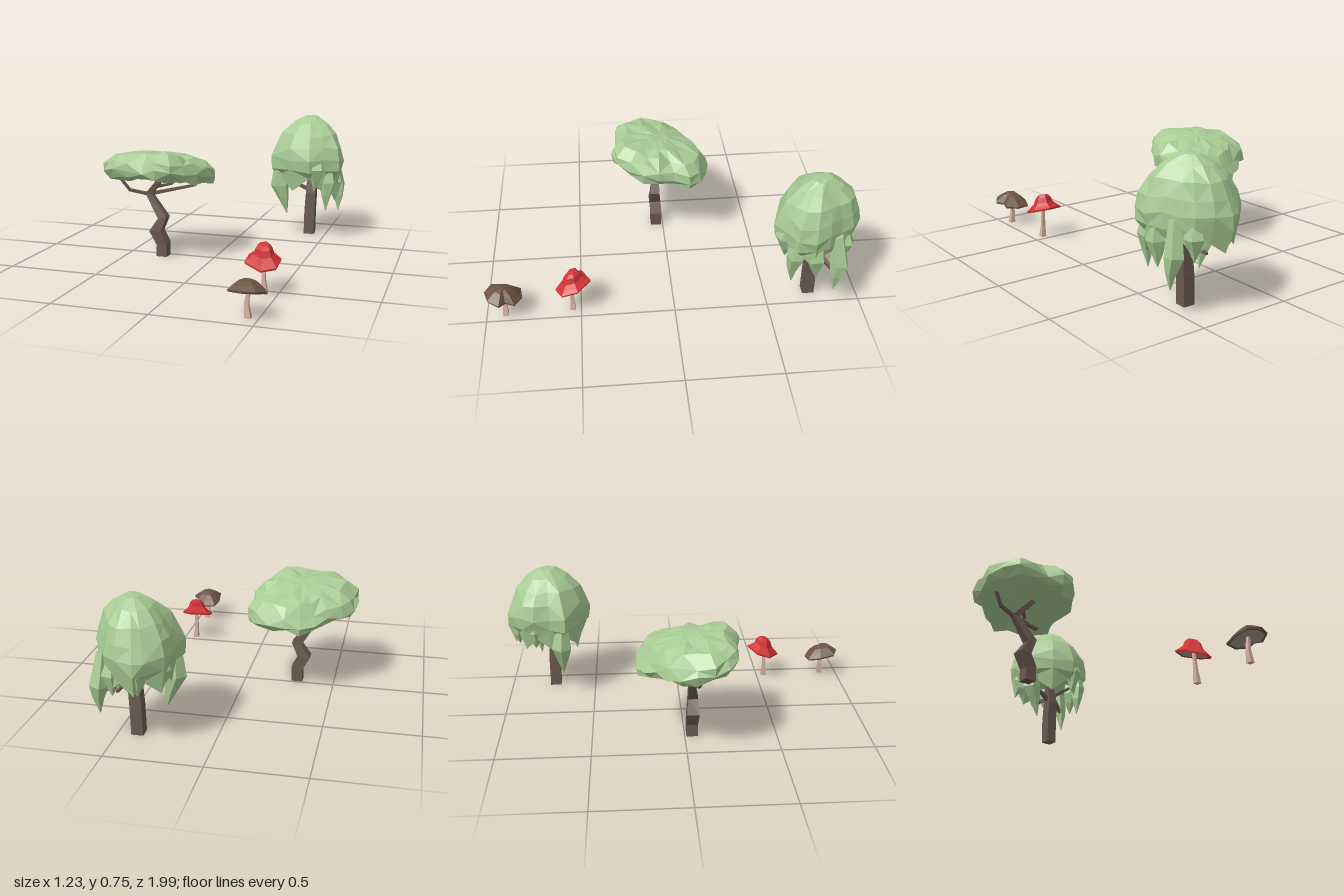
import * as THREE from 'three';

const mat = (color) => new THREE.MeshStandardMaterial({ color, flatShading: true, side: THREE.DoubleSide });
const leaf = mat(0xa9cc95), bark = mat(0x6b594f), pale = mat(0xd6b0a0);
const redCap = mat(0xd23234), brownCap = mat(0x6c5443), gills = mat(0xa09389);
const V = (a) => new THREE.Vector3(...a);

// Repeatable noise in -1..1
const noise = (n) => {
  const s = Math.sin(n * 127.1 + 11.7) * 43758.5453;
  return (s - Math.floor(s)) * 2 - 1;
};

// Skin a list of rings (each a list of Vector3) into a faceted mesh
function loft(name, rings, material) {
  const n = rings[0].length, pos = [], idx = [];
  rings.forEach((ring) => ring.forEach((p) => pos.push(p.x, p.y, p.z)));
  for (let i = 0; i < rings.length - 1; i++) {
    for (let j = 0; j < n; j++) {
      const a = i * n + j, b = i * n + (j + 1) % n;
      const quad = (i + j) % 2
        ? [[a, a + n, b], [b, a + n, b + n]]
        : [[a, a + n, b + n], [a, b + n, b]];
      for (const t of quad) {
        const [p, q, r] = t.map((k) => rings[Math.floor(k / n)][k % n]);
        if (p.distanceTo(q) > 1e-6 && q.distanceTo(r) > 1e-6 && p.distanceTo(r) > 1e-6) idx.push(...t);
      }
    }
  }
  let geo = new THREE.BufferGeometry();
  geo.setAttribute('position', new THREE.Float32BufferAttribute(pos, 3));
  geo.setIndex(idx);
  geo = geo.toNonIndexed();
  geo.computeVertexNormals();
  const mesh = new THREE.Mesh(geo, material);
  mesh.name = name;
  return mesh;
}

// Closed limb through nodes [x, y, z, radius]
function limb(name, nodes, material, sides = 4) {
  const pts = nodes.map(([x, y, z]) => V([x, y, z])), rings = [];
  nodes.forEach(([, , , r], i) => {
    const d = pts[Math.min(i + 1, pts.length - 1)].clone().sub(pts[Math.max(i - 1, 0)]).normalize();
    if (i === 0 && nodes[0][1] === 0) d.set(0, 1, 0);
    const ref = Math.abs(d.z) > 0.9 ? V([1, 0, 0]) : V([0, 0, 1]);
    const u = new THREE.Vector3().crossVectors(d, ref).normalize();
    const v = new THREE.Vector3().crossVectors(u, d);
    const ring = Array.from({ length: sides }, (_, j) => {
      const a = ((j + 0.5) / sides) * Math.PI * 2;
      return pts[i].clone().addScaledVector(u, r * Math.cos(a)).addScaledVector(v, r * Math.sin(a));
    });
    const cap = ring.map(() => pts[i].clone());
    if (i === 0) rings.push(cap);
    rings.push(ring);
    if (i === nodes.length - 1) rings.push(cap);
  });
  return loft(name, rings, material);
}

// Irregular blob: plan outline [x, z] scaled by profile [fraction, y] from below to above
function blob(name, { outline, centre: [cx, cz], profile, tilt = 0, rough = 0, bump = 0, droop = 0, seed = 0 }, material) {
  const rings = profile.map(([f, y], i) => outline.map(([x, z], j) => {
    const k = seed + i * 31 + j * 7;
    const g = f * (1 + (f < 1 ? rough * noise(k) : 0));
    const px = cx + (x - cx) * g, pz = cz + (z - cz) * g;
    const sag = i === 2 && j % 2 ? droop : 0;
    return V([px, y + tilt * (pz - cz) + bump * Math.min(1, f * 1.3) * noise(k + 3) - sag, pz]);
  }));
  return loft(name, rings, material);
}

// Closed curve through the outline, resampled to n points
const resample = (outline, n) =>
  new THREE.CatmullRomCurve3(outline.map(([x, z]) => V([x, 0, z])), true).getSpacedPoints(n)
    .slice(0, n).map((p) => [p.x, p.z]);

function flatTopTree() {
  const g = new THREE.Group();
  g.name = 'flatTopTree';
  g.add(limb('trunk', [[-0.293, 0, 0.04, 0.044], [-0.291, 0.075, 0.04, 0.044], [-0.33, 0.147, 0.043, 0.048],
    [-0.286, 0.225, 0.045, 0.038], [-0.38, 0.36, 0.03, 0.022]], bark));
  const fork = [-0.38, 0.352, 0.03];
  [
    [[...fork, 0.022], [-0.32, 0.42, 0.05, 0.02], [-0.27, 0.475, 0.065, 0.018]],
    [[...fork, 0.013], [-0.485, 0.375, 0.06, 0.011], [-0.53, 0.44, 0.08, 0.009]],
    [[...fork, 0.014], [-0.15, 0.393, -0.1, 0.011], [-0.1, 0.45, -0.14, 0.009]],
    [[-0.335, 0.4, 0.045, 0.013], [-0.27, 0.405, -0.04, 0.01], [-0.23, 0.45, -0.09, 0.009]],
  ].forEach((p) => g.add(limb('branch', p, bark)));
  g.add(blob('canopy', {
    outline: resample([[-0.05, -0.05], [-0.05, 0.08], [-0.12, 0.22], [-0.22, 0.295], [-0.33, 0.265], [-0.5, 0.26], [-0.58, 0.2],
      [-0.62, 0.05], [-0.58, -0.08], [-0.45, -0.17], [-0.38, -0.24], [-0.25, -0.262], [-0.17, -0.245], [-0.045, -0.17]], 21),
    centre: [-0.31, 0.02],
    profile: [[0, 0.455], [0.4, 0.45], [0.7, 0.43], [0.9, 0.432], [1, 0.475], [0.94, 0.525],
      [0.77, 0.567], [0.48, 0.587], [0.2, 0.598], [0, 0.598]],
    tilt: 0.18, rough: 0.08, bump: 0.016, seed: 5,
  }, leaf));
  return g;
}

function weepingTree() {
  const g = new THREE.Group();
  g.name = 'weepingTree';
  g.add(limb('trunk', [[0.398, 0, -0.74, 0.044], [0.4, 0.15, -0.74, 0.044], [0.406, 0.26, -0.738, 0.042],
    [0.402, 0.36, -0.745, 0.032], [0.4, 0.47, -0.75, 0.024]], bark));
  [
    [[0.39, 0.28, -0.74, 0.016], [0.32, 0.315, -0.72, 0.013], [0.23, 0.305, -0.69, 0.009]],
    [[0.41, 0.31, -0.74, 0.019], [0.48, 0.285, -0.78, 0.016], [0.555, 0.25, -0.83, 0.01]],
    [[0.4, 0.28, -0.75, 0.015], [0.42, 0.32, -0.86, 0.012], [0.43, 0.315, -0.93, 0.008]],
    [[0.41, 0.3, -0.74, 0.015], [0.48, 0.35, -0.66, 0.013], [0.53, 0.38, -0.62, 0.009]],
  ].forEach((p) => g.add(limb('branch', p, bark)));
  g.add(blob('canopy', {
    outline: [[0.57, -0.78], [0.61, -0.7], [0.595, -0.61], [0.52, -0.57], [0.43, -0.515], [0.3, -0.56], [0.165, -0.65],
      [0.19, -0.74], [0.18, -0.83], [0.2, -0.9], [0.28, -0.97], [0.33, -0.99], [0.42, -0.97], [0.49, -0.92], [0.52, -0.85]],
    centre: [0.395, -0.755],
    profile: [[0, 0.44], [0.55, 0.42], [0.85, 0.37], [0.96, 0.42], [1, 0.49], [0.92, 0.565],
      [0.77, 0.635], [0.5, 0.7], [0.22, 0.74], [0, 0.745]],
    rough: 0.05, bump: 0.012, droop: 0.07, seed: 40,
  }, leaf));
  // Hanging foliage: [top, middle, tip, half width]
  [
    [[0.22, 0.46, -0.67], [0.215, 0.31, -0.68], [0.265, 0.13, -0.68], 0.058],
    [[0.52, 0.48, -0.63], [0.53, 0.35, -0.62], [0.52, 0.18, -0.61], 0.05],
    [[0.53, 0.47, -0.83], [0.55, 0.3, -0.85], [0.56, 0.14, -0.83], 0.05],
    [[0.45, 0.57, -0.61], [0.465, 0.43, -0.57], [0.45, 0.3, -0.58], 0.05],
    [[0.25, 0.48, -0.83], [0.24, 0.4, -0.83], [0.25, 0.3, -0.83], 0.05],
    [[0.34, 0.48, -0.91], [0.33, 0.4, -0.93], [0.33, 0.3, -0.93], 0.052],
    [[0.46, 0.46, -0.88], [0.47, 0.38, -0.89], [0.47, 0.27, -0.89], 0.05],
    [[0.55, 0.46, -0.72], [0.555, 0.35, -0.72], [0.555, 0.22, -0.73], 0.052],
    [[0.33, 0.47, -0.62], [0.33, 0.4, -0.61], [0.35, 0.32, -0.63], 0.046],
  ].forEach(([a, m, t, w], k) => {
    const low = m.map((v, i) => v + (t[i] - v) * 0.45 + 0.008 * noise(k * 5 + i));
    g.add(limb('hangingLeaves', [[...t, 0.002], [...low, w * 0.6], [...m, w], [...a, w * 0.6]], leaf, 5));
  });
  return g;
}

function mushroom(name, stem, cap, under, over, material) {
  const g = new THREE.Group();
  g.name = name;
  g.add(limb('stem', stem, pale));
  g.add(blob('gills', { ...cap, profile: under }, gills));
  g.add(blob('cap', { ...cap, profile: over }, material));
  return g;
}

export function createModel() {
  const model = new THREE.Group();
  model.name = 'treesAndMushrooms';
  model.add(flatTopTree(), weepingTree());
  model.add(mushroom('redMushroom',
    [[0.435, 0, 0.545, 0.021], [0.43, 0.07, 0.545, 0.014], [0.43, 0.18, 0.54, 0.01]],
    {
      outline: [[0.51, 0.51], [0.505, 0.595], [0.435, 0.63], [0.39, 0.6], [0.335, 0.565], [0.34, 0.49], [0.44, 0.44]],
      centre: [0.43, 0.54], tilt: -0.3,
    },
    [[0, 0.18], [0.5, 0.175], [0.82, 0.162]],
    [[0.82, 0.162], [0.97, 0.158], [1, 0.168], [0.8, 0.183], [0.56, 0.205], [0.44, 0.235], [0.28, 0.251], [0, 0.255]], redCap));
  model.add(mushroom('brownMushroom',
    [[0.45, 0, 0.9, 0.021], [0.442, 0.065, 0.9, 0.014], [0.45, 0.14, 0.9, 0.01]],
    {
      outline: [[0.54, 0.92], [0.505, 0.98], [0.44, 1], [0.37, 0.97], [0.36, 0.885], [0.38, 0.815], [0.45, 0.805], [0.515, 0.84], [0.505, 0.89]],
      centre: [0.445, 0.9], tilt: 0.2,
    },
    [[0, 0.14], [0.5, 0.136], [0.85, 0.126]],
    [[0.85, 0.126], [0.97, 0.124], [1, 0.134], [0.72, 0.158], [0.47, 0.176], [0.22, 0.184], [0, 0.186]], brownCap));
  return model;
}
